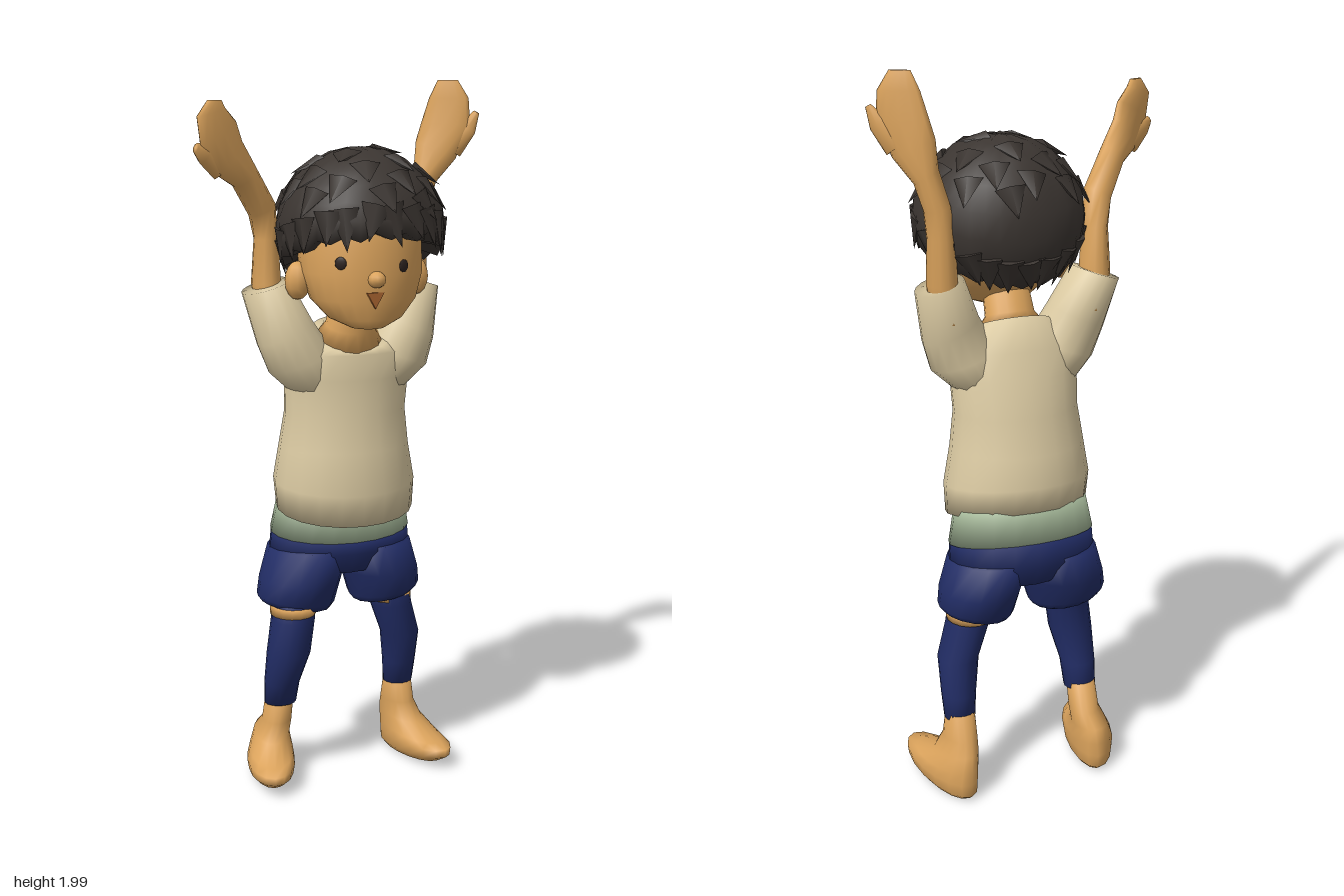
import * as THREE from 'three';

const V = (x, y, z) => new THREE.Vector3(x, y, z);
const mat = (name, color) => {
  const m = new THREE.MeshStandardMaterial({ color });
  m.name = name;
  return m;
};

// Joins rings of points (listed bottom to top) into a closed smooth surface.
function skinRings(rings) {
  const n = rings[0].length, pos = [], idx = [];
  rings.forEach(r => r.forEach(p => pos.push(p.x, p.y, p.z)));
  for (let j = 0; j < rings.length - 1; j++) {
    for (let i = 0; i < n; i++) {
      const a = j * n + i, b = j * n + (i + 1) % n;
      idx.push(a, a + n, b, b, a + n, b + n);
    }
  }
  [0, rings.length - 1].forEach((j, end) => {
    const c = rings[j].reduce((s, p) => s.add(p), V(0, 0, 0)).divideScalar(n);
    const k = pos.length / 3;
    pos.push(c.x, c.y, c.z);
    for (let i = 0; i < n; i++) {
      const a = j * n + i, b = j * n + (i + 1) % n;
      if (end) idx.push(a, k, b); else idx.push(a, b, k);
    }
  });
  const g = new THREE.BufferGeometry();
  g.setAttribute('position', new THREE.Float32BufferAttribute(pos, 3));
  g.setIndex(idx);
  g.computeVertexNormals();
  return g;
}

// Ring rows: centre x, y, z, half-width vector x, y, z, half-depth, forward tilt.
function loft(rows, n = 16) {
  return skinRings(rows.map(([x, y, z, ux, uy, uz, w, vy = 0]) => {
    const u = V(ux, uy, uz), v = V(-uz, 0, ux).normalize().multiplyScalar(w);
    v.y = vy;
    return Array.from({ length: n }, (_, i) => {
      const t = i / n * Math.PI * 2;
      return V(x, y, z).addScaledVector(u, Math.cos(t)).addScaledVector(v, Math.sin(t));
    });
  }));
}
// Upright ring: centre, half-width, half-depth, forward tilt, sideways tilt.
const up = (x, y, z, rx, rz, vy = 0, uy = 0) => [x, y, z, rx, uy, 0, rz, vy];

export function createModel() {
  const root = new THREE.Group();
  root.name = 'child';
  const skin = mat('skin', 0xdba35c), hair = mat('hair', 0x3b3531), shirt = mat('shirt', 0xdccba3);
  const navy = mat('navy cloth', 0x212c64), band = mat('waistband', 0xa5b899);
  const dark = mat('eye dark', 0x2b2220), red = mat('mouth brown', 0xa5622f);
  const add = (name, geo, m, parent = root) => {
    const mesh = new THREE.Mesh(geo, m);
    mesh.name = name;
    parent.add(mesh);
    return mesh;
  };

  // Shirt and sleeves
  add('shirtBody', loft([
    up(0.043, 0.82, -0.07, 0.2, 0.155, -0.03), up(0.04, 0.9, -0.067, 0.205, 0.165, -0.02),
    up(0.037, 1.0, -0.062, 0.188, 0.148), up(0.04, 1.1, -0.06, 0.175, 0.128),
    up(0.04, 1.2, -0.046, 0.18, 0.117), up(0.04, 1.27, -0.033, 0.175, 0.1),
    up(0.04, 1.32, -0.02, 0.115, 0.08, -0.04)], 20), shirt);
  add('rightSleeve', loft([
    up(-0.05, 1.17, -0.045, 0.085, 0.085), up(-0.1, 1.25, -0.035, 0.09, 0.088, 0, 0.03),
    up(-0.145, 1.33, -0.035, 0.075, 0.085, 0, 0.035), up(-0.19, 1.455, -0.062, 0.063, 0.08, 0, 0.02)]), shirt);
  add('leftSleeve', loft([
    up(0.13, 1.17, -0.045, 0.085, 0.085), up(0.18, 1.25, -0.035, 0.09, 0.088, 0, -0.03),
    up(0.215, 1.33, -0.035, 0.075, 0.085, 0, -0.035), up(0.252, 1.455, -0.062, 0.063, 0.08, 0, -0.02)]), shirt);

  // Waistband and shorts
  add('waistband', loft([
    up(0.043, 0.745, -0.108, 0.209, 0.13, -0.02), up(0.043, 0.84, -0.1, 0.19, 0.122, -0.02)], 20), band);
  add('shortsHips', loft([
    up(0.04, 0.63, -0.105, 0.13, 0.1), up(0.041, 0.69, -0.107, 0.212, 0.126),
    up(0.043, 0.752, -0.108, 0.206, 0.128, -0.02)], 20), navy);
  add('rightShortsLeg', loft([
    up(-0.1, 0.53, -0.09, 0.1, 0.093, 0, -0.015), up(-0.1, 0.548, -0.09, 0.113, 0.105, 0, -0.015),
    up(-0.085, 0.61, -0.092, 0.118, 0.126), up(-0.055, 0.7, -0.105, 0.118, 0.122)]), navy);
  add('leftShortsLeg', loft([
    up(0.178, 0.53, -0.105, 0.092, 0.09, 0, 0.015), up(0.178, 0.548, -0.105, 0.106, 0.105, 0, 0.015),
    up(0.165, 0.61, -0.107, 0.113, 0.125), up(0.135, 0.7, -0.108, 0.118, 0.122)]), navy);

  // Leggings with a sliver of bare knee under the shorts
  add('rightLegging', loft([
    up(-0.148, 0.23, -0.095, 0.047, 0.042), up(-0.15, 0.3, -0.072, 0.051, 0.052),
    up(-0.138, 0.4, -0.044, 0.063, 0.064), up(-0.122, 0.5, -0.05, 0.063, 0.066),
    up(-0.11, 0.6, -0.07, 0.065, 0.07)]), navy);
  add('leftLegging', loft([
    up(0.239, 0.23, -0.13, 0.044, 0.042), up(0.238, 0.3, -0.12, 0.049, 0.051),
    up(0.23, 0.4, -0.098, 0.057, 0.063), up(0.196, 0.5, -0.088, 0.061, 0.068),
    up(0.18, 0.6, -0.09, 0.065, 0.07)]), navy);
  add('rightKnee', loft([up(-0.12, 0.514, -0.055, 0.066, 0.07), up(-0.115, 0.54, -0.06, 0.068, 0.074)]), skin);
  add('leftKnee', loft([up(0.192, 0.514, -0.095, 0.066, 0.073), up(0.19, 0.54, -0.095, 0.068, 0.075)]), skin);

  // Bare feet, turned slightly outward
  [-1, 1].forEach(s => {
    const az = s < 0 ? -0.1 : -0.132;
    const row = (x, y, z, rx, rz, vy = 0) => [0.045 + s * x, y, z, rx * 0.97, 0, -s * rx * 0.22, rz, vy];
    add(s < 0 ? 'rightFoot' : 'leftFoot', loft([
      row(0.227, 0.012, -0.088, 0.05, 0.125, 0.008), row(0.23, 0.032, -0.075, 0.065, 0.155, 0.015),
      row(0.23, 0.062, -0.075, 0.07, 0.156, 0.008), row(0.222, 0.085, -0.095, 0.064, 0.133, -0.008),
      row(0.208, 0.125, -0.135, 0.052, 0.085, -0.012), row(0.196, 0.17, (az - 0.14) / 2, 0.044, 0.06),
      row(0.194, 0.245, az, 0.042, 0.041)]), skin);
  });

  // Raised arms with mitten hands and thumbs
  add('rightArm', loft([
    up(-0.165, 1.36, -0.07, 0.045, 0.055), up(-0.183, 1.46, -0.075, 0.04, 0.052),
    up(-0.182, 1.58, -0.075, 0.032, 0.045), [-0.2, 1.66, -0.05, 0.033, 0.018, -0.01, 0.04],
    [-0.262, 1.75, -0.005, 0.028, 0.028, -0.018, 0.032], [-0.312, 1.8, 0.025, 0.04, 0.045, -0.028, 0.025],
    [-0.343, 1.86, 0.045, 0.057, 0.03, -0.035, 0.02], [-0.363, 1.912, 0.05, 0.044, 0.012, -0.026, 0.016],
    [-0.352, 1.942, 0.045, 0.022, 0, -0.014, 0.008]], 12), skin);
  add('rightThumb', loft([
    [-0.335, 1.775, 0.035, 0.022, 0.03, -0.015, 0.018], [-0.385, 1.81, 0.065, 0.016, 0.025, -0.012, 0.016],
    [-0.413, 1.825, 0.081, 0.005, 0.012, -0.004, 0.008]], 8), skin);
  add('leftArm', loft([
    up(0.235, 1.36, -0.07, 0.045, 0.055), up(0.25, 1.46, -0.078, 0.04, 0.052),
    up(0.255, 1.58, -0.09, 0.036, 0.044), up(0.265, 1.66, -0.092, 0.034, 0.042, 0, -0.008),
    [0.29, 1.74, -0.088, 0.03, -0.018, 0.01, 0.038], [0.318, 1.81, -0.08, 0.046, -0.025, 0.032, 0.028],
    [0.342, 1.88, -0.067, 0.056, -0.005, 0.04, 0.021], [0.348, 1.95, -0.063, 0.045, 0, 0.032, 0.016],
    [0.344, 1.998, -0.063, 0.023, 0, 0.016, 0.009]], 12), skin);
  add('leftThumb', loft([
    [0.355, 1.81, -0.06, 0.022, -0.018, 0.015, 0.018], [0.393, 1.868, -0.036, 0.018, -0.014, 0.012, 0.015],
    [0.414, 1.912, -0.022, 0.006, -0.004, 0.004, 0.008]], 8), skin);

  // Neck, head, ears and nose
  add('neck', loft([
    up(0.035, 1.3, -0.014, 0.102, 0.08, -0.035), up(0.035, 1.345, -0.008, 0.068, 0.058, -0.02),
    up(0.04, 1.46, 0.03, 0.06, 0.06)]), skin);
  add('head', loft([
    up(0.036, 1.356, 0.12, 0.045, 0.048), up(0.04, 1.38, 0.093, 0.1, 0.093),
    up(0.044, 1.43, 0.068, 0.146, 0.126), up(0.046, 1.5, 0.048, 0.167, 0.156),
    up(0.046, 1.58, 0.03, 0.17, 0.168), up(0.05, 1.68, 0.02, 0.165, 0.165),
    up(0.05, 1.76, 0.015, 0.1, 0.1)], 24), skin);
  [['rightEar', -0.125], ['leftEar', 0.217]].forEach(([name, x]) => {
    const ear = add(name, new THREE.SphereGeometry(1, 10, 8), skin);
    ear.position.set(x, 1.475, 0.02);
    ear.scale.set(0.036, 0.052, 0.036);
  });
  const nose = add('nose', new THREE.SphereGeometry(1, 10, 8), skin);
  nose.position.set(0.03, 1.49, 0.2);
  nose.scale.set(0.024, 0.022, 0.027);

  // Eyes and open mouth as thin plates
  [['rightEye', -0.058, 1.532, 0.169, -0.64], ['leftEye', 0.11, 1.522, 0.19, 0.386]].forEach(([name, x, y, z, a]) => {
    const eye = add(name, new THREE.SphereGeometry(1, 12, 8), dark);
    eye.position.set(x, y, z);
    eye.rotation.y = a;
    eye.scale.set(0.016, 0.017, 0.0045);
  });
  const mouth = add('mouth', new THREE.CylinderGeometry(0.028, 0.028, 0.009, 3), red);
  mouth.rotation.x = Math.PI / 2;
  mouth.position.set(0.028, 1.442, 0.196);

  // Hair cap: low at the nape, high over the brow, with a jagged rim
  let seed = 7;
  const rnd = () => (seed = (seed * 16807) % 2147483647) / 2147483647;
  const hairPoint = (a, phi, lift = 1) => V(
    0.055 + 0.23 * lift * Math.sin(phi) * Math.cos(a),
    1.602 + 0.222 * lift * Math.cos(phi),
    0.015 + 0.222 * lift * Math.sin(phi) * Math.sin(a));
  const rimAngle = a => {
    const f = Math.sin(a);
    return THREE.MathUtils.degToRad(108 - (f > 0 ? 19 : 23) * f);
  };
  const n = 36;
  const jag = Array.from({ length: n }, (_, i) => (i % 2 ? 0.05 : -0.04) + (rnd() - 0.5) * 0.06);
  const hairRing = (t, lift, rough) => Array.from({ length: n }, (_, i) => {
    const a = i / n * Math.PI * 2;
    return hairPoint(a, rimAngle(a) * t + jag[i] * t ** 3, lift + (rnd() - 0.5) * rough);
  });
  const group = new THREE.Group();
  group.name = 'hair';
  root.add(group);
  add('hairCap', skinRings([hairRing(1, 0.78, 0), hairRing(1, 1, 0.03),
    ...[0.87, 0.74, 0.6, 0.46, 0.32, 0.18, 0.07].map(t => hairRing(t, 1, 0.025))]), hair, group);

  // Pointed locks lying along the cap, tips lifted
  const lock = (a, phi, len, lift) => {
    const p = hairPoint(a, phi, 0.975), q = hairPoint(a + (rnd() - 0.5) * 0.25, phi + len, lift);
    const dir = q.clone().sub(p), y = dir.clone().normalize();
    const out = p.clone().sub(V(0.055, 1.602, 0.015));
    const x = y.clone().cross(out).normalize(), z = x.clone().cross(y);
    const m = add('hairLock', new THREE.ConeGeometry(0.042, dir.length(), 5), hair, group);
    m.quaternion.setFromRotationMatrix(new THREE.Matrix4().makeBasis(x, y, z));
    m.position.copy(p).add(q).multiplyScalar(0.5);
    m.scale.z = 0.35;
  };
  for (let i = 0; i < 22; i++) {
    const a = (i + rnd() * 0.5) / 22 * Math.PI * 2;
    lock(a, rimAngle(a) - 0.36, 0.4 + rnd() * 0.1, 1.04);
  }
  for (let i = 0; i < 26; i++) {
    const a = i * 2.4;
    lock(a, 0.15 + 0.95 * Math.sqrt(i / 26), 0.36, 1.05 + rnd() * 0.04);
  }
  return root;
}
